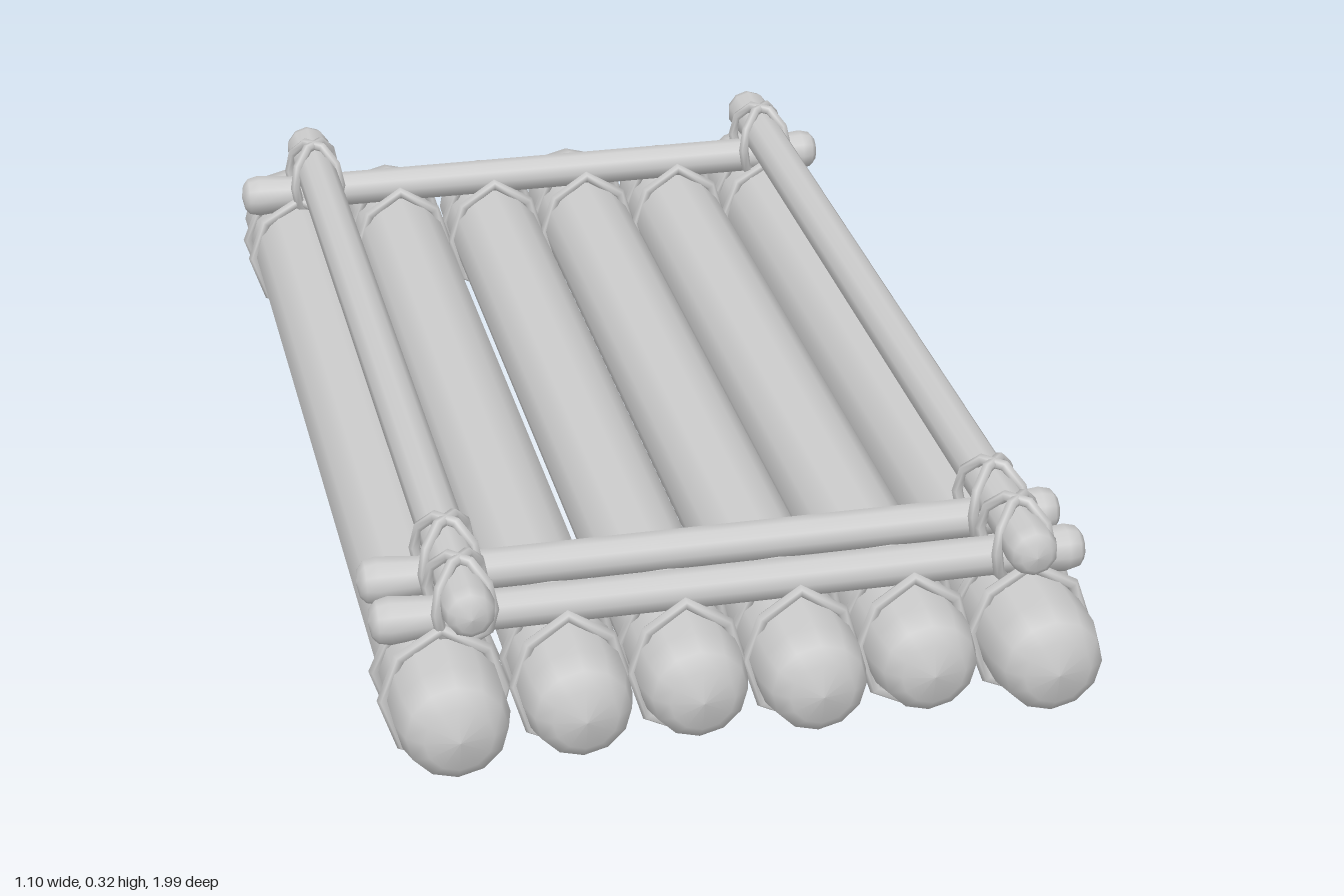
import * as THREE from 'three';

const material = new THREE.MeshStandardMaterial({ color: 0xcccccc });

function addMesh(parent, name, geometry) {
  const mesh = new THREE.Mesh(geometry, material);
  mesh.name = name;
  parent.add(mesh);
  return mesh;
}

// Round timber along +y from a to b, with domed ends and a slightly slimmer middle
function timber(a, b, rEnd, rMid, sides) {
  const half = [[0, 0], [0.6, 0.12], [0.88, 0.35], [1, 0.85]];
  const start = half.map(([r, t]) => new THREE.Vector2(r * rEnd, a + t * rEnd));
  const end = half.map(([r, t]) => new THREE.Vector2(r * rEnd, b - t * rEnd)).reverse();
  const inset = rEnd * 2.5;
  const middle = [new THREE.Vector2(rMid, a + inset), new THREE.Vector2(rMid, b - inset)];
  return new THREE.LatheGeometry([...start, ...middle, ...end], sides);
}

// Closed rope loop; pointAt(angle) returns its centre line
function ropeLoop(pointAt, radius, segments) {
  const points = [];
  for (let i = 0; i < segments; i++) points.push(pointAt((i / segments) * Math.PI * 2, i));
  const curve = new THREE.CatmullRomCurve3(points, true);
  return new THREE.TubeGeometry(curve, segments, radius, 6, true);
}

export function createModel() {
  const raft = new THREE.Group();
  raft.name = 'raft';

  // Deck logs: x, back end, front end, radius
  const logs = [
    [-0.447, -0.99, 0.985, 0.086], [-0.258, -0.98, 0.97, 0.082],
    [-0.08, -0.965, 0.955, 0.082], [0.096, -0.985, 0.975, 0.082],
    [0.272, -0.965, 0.955, 0.082], [0.453, -1, 0.99, 0.086],
  ];
  const deck = new THREE.Group();
  deck.name = 'deckLogs';
  const bindings = new THREE.Group();
  bindings.name = 'logBindings';
  raft.add(deck, bindings);

  logs.forEach(([x, back, front, r], i) => {
    const log = addMesh(deck, 'deckLog', timber(back, front, r, r, 12));
    log.rotation.x = Math.PI / 2;
    log.position.set(x, 0.117, 0);

    // Pairs of rope rings near both ends, pinched together at the top
    const outer = i === 0 || i === logs.length - 1;
    for (const zPole of [-0.782, 0.8]) {
      for (const side of [-1, 1]) {
        addMesh(bindings, 'logBinding', ropeLoop((a, k) => new THREE.Vector3(
          x + Math.cos(a) * (outer ? 0.09 : 0.082),
          0.113 + Math.sin(a) * 0.103,
          zPole + side * (0.041 - 0.008 * Math.sin(a)) + (k % 2 ? 0.006 : -0.004),
        ), 0.01, 8));
      }
    }
  });

  // Cross poles lying over the logs
  const poleZ = [-0.785, 0.673, 0.793];
  for (const z of poleZ) {
    const pole = addMesh(raft, 'crossPole', timber(-0.55, 0.55, 0.037, 0.031, 10));
    pole.rotation.z = -Math.PI / 2;
    pole.position.set(0, 0.22, z);
  }

  // Side rails lying over the cross poles
  const railX = [-0.412, 0.44];
  for (const x of railX) {
    const rail = addMesh(raft, 'sideRail', timber(-0.91, 0.9, 0.04, 0.036, 10));
    rail.rotation.x = Math.PI / 2;
    rail.position.set(x, 0.268, 0);
  }

  // Crossed lashings where rails and poles meet
  const lashings = new THREE.Group();
  lashings.name = 'cornerLashings';
  raft.add(lashings);
  for (const x of railX) {
    for (const z of poleZ) {
      for (const turn of [-1, 1]) {
        addMesh(lashings, 'cornerLashing', ropeLoop((a) => {
          const across = Math.cos(a) * 0.042;
          return new THREE.Vector3(x + across, 0.247 + Math.sin(a) * 0.069, z + turn * across);
        }, 0.009, 10));
      }
    }
  }

  return raft;
}
